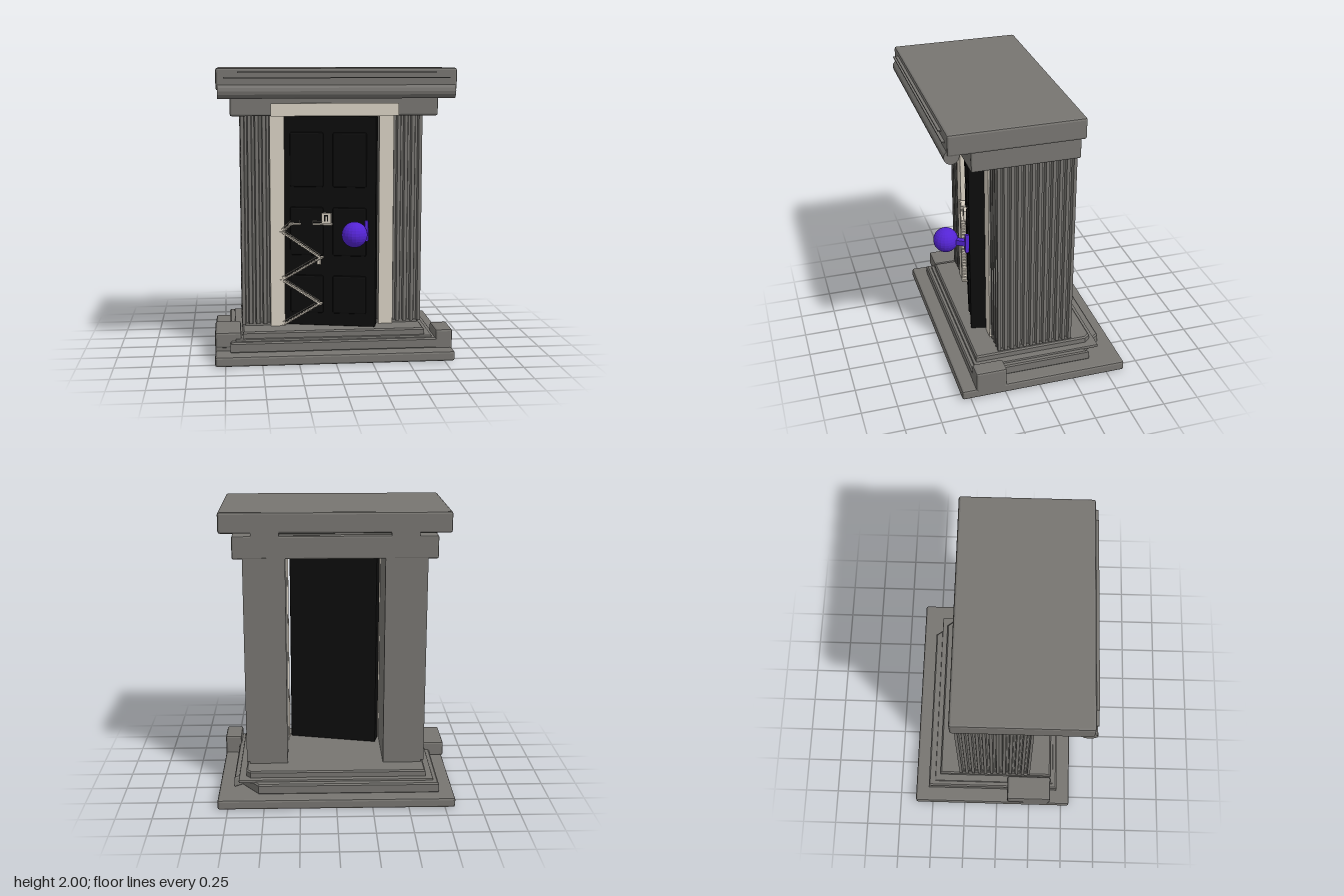
import * as THREE from 'three';
import { RoundedBoxGeometry } from 'three/addons/geometries/RoundedBoxGeometry.js';

const mat = (name, color) => {
  const m = new THREE.MeshStandardMaterial({ color, flatShading: true });
  m.name = name;
  return m;
};

export function createModel() {
  const stone = mat('stone', 0x777571);
  const cream = mat('cream', 0xd8d0c2);
  const black = mat('black', 0x0d0d0d);
  const purple = mat('purple', 0x5424d4);
  const root = new THREE.Group();

  const add = (name, geo, m, parent = root) => {
    const mesh = new THREE.Mesh(geo, m);
    mesh.name = name;
    parent.add(mesh);
    return mesh;
  };
  // box from min/max corners, chamfered when bevel > 0
  const box = (name, m, [x0, x1], [y0, y1], [z0, z1], bevel = 0, parent = root) => {
    const s = [x1 - x0, y1 - y0, z1 - z0];
    const geo = bevel ? new RoundedBoxGeometry(...s, 1, bevel) : new THREE.BoxGeometry(...s);
    geo.translate((x0 + x1) / 2, (y0 + y1) / 2, (z0 + z1) / 2);
    return add(name, geo, m, parent);
  };
  // plan outline of [x, z] points raised from y0 to y1
  const raise = (name, m, pts, y0, y1, bevel = 0) => {
    const shape = new THREE.Shape(pts.map(([x, z]) => new THREE.Vector2(x, -z)));
    const geo = new THREE.ExtrudeGeometry(shape, {
      depth: y1 - y0 - 2 * bevel, bevelEnabled: bevel > 0, bevelThickness: bevel,
      bevelSize: bevel, bevelOffset: -bevel, bevelSegments: 1,
    });
    geo.rotateX(-Math.PI / 2).translate(0, y0 + bevel, 0);
    return add(name, geo, m);
  };
  // thin square bar between two points
  const bar = (name, m, a, b, t, parent) => {
    const p = new THREE.Vector3(...a), q = new THREE.Vector3(...b);
    const mesh = add(name, new THREE.BoxGeometry(t, t, p.distanceTo(q)), m, parent);
    mesh.position.copy(p).lerp(q, 0.5);
    mesh.quaternion.setFromUnitVectors(new THREE.Vector3(0, 0, 1), q.sub(p).normalize());
    return mesh;
  };

  // Stepped base; the upper steps have a broken back corner
  box('baseSlab', stone, [-0.82, 0.82], [0, 0.07], [-0.63, 0.56], 0.015);
  raise('middleStep', stone, [[-0.715, 0.46], [0.715, 0.46], [0.715, -0.4], [0.66, -0.36],
    [0.54, -0.53], [-0.715, -0.53]], 0.065, 0.14, 0.01);
  raise('topStep', stone, [[-0.63, 0.41], [0.63, 0.41], [0.63, -0.4], [0.6, -0.44],
    [-0.63, -0.44]], 0.13, 0.2, 0.01);
  box('stepMoulding', stone, [-0.68, 0.68], [0.13, 0.155], [-0.48, 0.43], 0.008);
  box('leftEndBlock', stone, [-0.82, -0.64], [0.09, 0.2], [0.08, 0.41], 0.015);
  box('leftEndFoot', stone, [-0.82, -0.7], [0.04, 0.12], [0.2, 0.4], 0.012);
  box('rightEndBlock', stone, [0.7, 0.82], [0.035, 0.2], [0.24, 0.46], 0.015);

  // Fluted pillars, grooved on the outer side and the front
  const groove = [[0, 0], [0.45, 0], [0.58, 1], [0.87, 1]];
  for (const s of [1, -1]) {
    const pts = [[0.34, -0.29]];
    const depth = 0.028, nSide = 11, nFront = 4;
    for (let i = 0; i < nSide; i++)
      for (const [t, d] of groove)
        pts.push([0.63 - d * depth, -0.29 + ((i + t) * 0.52) / nSide]);
    pts.push([0.63, 0.23], [0.63, 0.25]);
    for (let i = 0; i < nFront; i++)
      for (const [t, d] of groove)
        if (i + t > 0) pts.push([0.63 - ((i + t) * 0.2) / nFront, 0.25 - d * depth]);
    pts.push([0.43, 0.25], [0.43, 0.235], [0.34, 0.235]);
    raise('flutedPillar', stone, pts.map(([x, z]) => [s * x, z]), 0.215, 1.69);
    raise('pillarFoot', stone, [[0.34, -0.29], [0.61, -0.29], [0.61, 0.23], [0.34, 0.23]]
      .map(([x, z]) => [s * x, z]), 0.195, 0.22);
    // cream door post
    const [a, b] = [s * 0.33, s * 0.43].sort((u, v) => u - v);
    box('framePost', cream, [a, b], [0.2, 1.68], [0.22, 0.255]);
    // solid necks between lintel and roof
    const [c, d] = [s * 0.38, s * 0.57].sort((u, v) => u - v);
    box('roofNeck', stone, [c, d], [1.82, 1.88], [-0.29, 0.38]);
  }

  // Lintel and roof
  box('lintel', stone, [-0.7, 0.7], [1.68, 1.84], [-0.29, 0.44], 0.012);
  box('roofCore', stone, [-0.56, 0.56], [1.82, 1.88], [-0.25, 0.4]);
  box('roof', stone, [-0.79, 0.79], [1.855, 2], [-0.29, 0.61], 0.015);
  const roll = new THREE.CylinderGeometry(0.05, 0.05, 1.56, 14).rotateZ(Math.PI / 2);
  add('roofRoll', roll, stone).position.set(0, 1.85, 0.58);
  box('roofBandUpper', stone, [-0.65, 0.65], [1.968, 1.976], [0.6, 0.63]);
  box('roofBandLower', stone, [-0.74, 0.74], [1.933, 1.941], [0.6, 0.63]);
  box('frameTop', cream, [-0.43, 0.43], [1.68, 1.765], [0.435, 0.46]);
  box('frameLine', purple, [-0.34, 0.34], [1.671, 1.681], [0.24, 0.25]);

  // Door, hinged on the -x side and standing slightly open
  const door = new THREE.Group();
  door.name = 'door';
  door.position.set(-0.335, 0, 0.21);
  door.rotation.y = -0.23;
  root.add(door);
  box('doorLeaf', black, [0, 0.645], [0.2, 1.67], [-0.12, 0], 0.008, door);
  for (const x of [0.046, 0.345])
    for (const [y0, y1] of [[0.29, 0.56], [0.7, 1.04], [1.18, 1.56]])
      box('doorPanel', black, [x, x + 0.235], [y0, y1], [-0.02, 0.013], 0.012, door);

  // Door knob with stem and plate
  box('knobPlate', purple, [0.215, 0.24], [0.81, 0.955], [0.34, 0.372], 0.006);
  bar('knobStem', purple, [0.215, 0.88, 0.355], [0.13, 0.88, 0.485], 0.04, root);
  add('knob', new THREE.SphereGeometry(0.088, 20, 14), purple).position.set(0.13, 0.88, 0.485);

  // Tiny zigzag staircase climbing the door
  const stairs = new THREE.Group();
  stairs.name = 'tinyStairs';
  door.add(stairs);
  const flight = (x0, y0, x1, y1) => {
    const n = Math.max(4, Math.round(Math.abs(x1 - x0) / 0.02));
    for (let i = 0; i < n; i++) {
      const x = x0 + ((x1 - x0) * (i + 0.5)) / n, y = y0 + ((y1 - y0) * (i + 0.5)) / n;
      box('tread', cream, [x - 0.011, x + 0.011], [y - 0.004, y + 0.004], [0.013, 0.05], 0, stairs);
      if (i % 3 === 1) bar('railPost', cream, [x, y, 0.049], [x, y + 0.025, 0.049], 0.003, stairs);
    }
    for (const z of [0.015, 0.049])
      bar('stringer', cream, [x0, y0, z], [x1, y1, z], 0.008, stairs);
    bar('handrail', cream, [x0, y0 + 0.025, 0.049], [x1, y1 + 0.025, 0.049], 0.004, stairs);
  };
  const turns = [[0, 0.205], [0.26, 0.365], [-0.005, 0.525], [0.265, 0.69], [-0.005, 0.865], [0.06, 0.925]];
  for (let i = 0; i + 1 < turns.length; i++) {
    flight(...turns[i], ...turns[i + 1]);
    const [x, y] = turns[i + 1];
    box('landing', cream, [x - 0.015, x + 0.015], [y - 0.005, y + 0.005], [0, 0.052], 0, stairs);
  }
  box('topLanding', cream, [0.06, 0.125], [0.92, 0.928], [0, 0.05], 0, stairs);
  bar('landingPost', cream, [0.122, 0.92, 0.047], [0.122, 0.955, 0.047], 0.004, stairs);
  box('hangingSign', cream, [0.24, 0.262], [0.64, 0.68], [0, 0.03], 0, stairs);

  // Small balcony with its own doorway
  box('balcony', cream, [0.21, 0.345], [0.922, 0.932], [0, 0.05], 0, stairs);
  bar('balconyRail', cream, [0.21, 0.95, 0.049], [0.28, 0.95, 0.049], 0.004, stairs);
  bar('balconyPost', cream, [0.212, 0.93, 0.049], [0.212, 0.95, 0.049], 0.004, stairs);
  box('tinyDoorFrame', cream, [0.272, 0.336], [0.93, 1.002], [0, 0.03], 0, stairs);
  box('tinyDoorway', black, [0.29, 0.318], [0.945, 0.99], [0.028, 0.032], 0, stairs);
  box('tinyDoorLeaf', cream, [0.3, 0.31], [0.948, 0.982], [0.03, 0.036], 0, stairs);

  return root;
}
